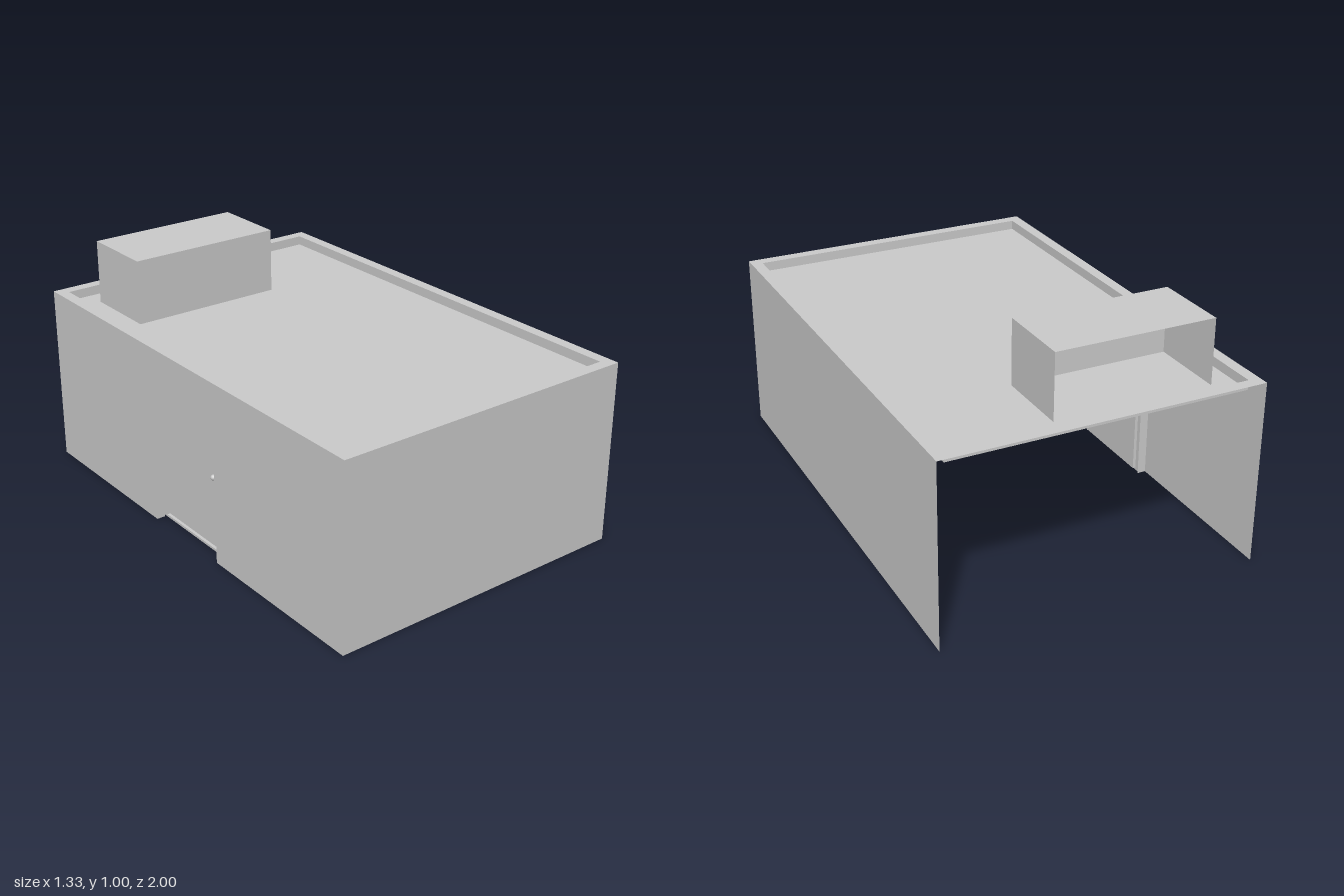
import * as THREE from 'three';

const material = new THREE.MeshStandardMaterial({ color: 0xcccccc, side: THREE.DoubleSide });

// Thin sheet: a path of points swept along one offset
function sweep(name, path, offset) {
  const o = new THREE.Vector3(...offset);
  const corners = [];
  for (let i = 0; i < path.length - 1; i++) {
    const a = new THREE.Vector3(...path[i]);
    const b = new THREE.Vector3(...path[i + 1]);
    const c = b.clone().add(o);
    corners.push(a, b, c, a, c, a.clone().add(o));
  }
  const geometry = new THREE.BufferGeometry().setFromPoints(corners);
  geometry.computeVertexNormals();
  return named(name, geometry);
}

function named(name, geometry) {
  const mesh = new THREE.Mesh(geometry, material);
  mesh.name = name;
  return mesh;
}

const rect = (x0, x1, y0, y1) => [[x0, y0], [x1, y0], [x1, y1], [x0, y1]];
const points = (list) => list.map(([x, y]) => new THREE.Vector2(x, y));

// Flat sheet from an outline, with an optional hole
function flat(outline, hole) {
  const shape = new THREE.Shape(points(outline));
  if (hole) shape.holes.push(new THREE.Path(points(hole)));
  return new THREE.ShapeGeometry(shape);
}

// Flat sheet facing -x, outline given as (z, y)
const sidePanel = (name, x, outline, hole) =>
  named(name, flat(outline, hole).rotateY(-Math.PI / 2).translate(x, 0, 0));

// Flat sheet facing up, outline given as (x, -z)
const topPanel = (name, y, outline, hole) =>
  named(name, flat(outline, hole).rotateX(-Math.PI / 2).translate(0, y, 0));

export function createModel() {
  const model = new THREE.Group();
  const W = 0.665, L = 1, H = 0.77;      // half width, half length, wall height
  const w = 0.617, l = 0.952, roofY = 0.73; // inside of the parapet, roof level

  // Outer walls; the back stays open
  model.add(sweep('outerWalls', [[-W, 0, L], [W, 0, L], [W, 0, -L]], [0, H, 0]));

  // Door side wall with an opening down to the ground
  const z0 = -0.227, z1 = 0.21, doorTop = 0.67;
  model.add(sidePanel('doorWall', -W, [
    [-L, 0], [z0, 0], [z0, doorTop], [z1, doorTop], [z1, 0], [L, 0], [L, H], [-L, H],
  ]));

  // Parapet and sunken roof
  const inner = rect(-w, w, -l, l);
  model.add(topPanel('parapetTop', H, rect(-W, W, -L, L), inner));
  model.add(sweep('parapetInside',
    [[w, roofY, l], [-w, roofY, l], [-w, roofY, -l], [w, roofY, -l], [w, roofY, l]],
    [0, H - roofY, 0]));
  model.add(topPanel('roof', roofY, inner));

  // Rooftop housing, open at the back
  const housing = new THREE.Group();
  housing.name = 'rooftopHousing';
  const bx0 = -0.518, bx1 = 0.148, bz0 = -0.86, bz1 = -0.533, boxTop = 1.003;
  housing.add(sweep('housingWalls',
    [[bx0, roofY, bz0], [bx0, roofY, bz1], [bx1, roofY, bz1], [bx1, roofY, bz0]],
    [0, boxTop - roofY, 0]));
  housing.add(topPanel('housingTop', boxTop, rect(bx0, bx1, -bz1, -bz0)));
  model.add(housing);

  // Recessed doorway: reveal, frame and door leaf
  const door = new THREE.Group();
  door.name = 'doorway';
  const frameX = -W + 0.037, leafX = -W + 0.05, edge = 0.02, sillY = 0.018;
  door.add(sweep('reveal',
    [[-W, 0, z0], [-W, doorTop, z0], [-W, doorTop, z1], [-W, 0, z1]],
    [frameX + W, 0, 0]));
  const leaf = rect(z0 + edge, z1 - edge, sillY, doorTop - edge);
  door.add(sidePanel('doorFrame', frameX, rect(z0, z1, 0.008, doorTop), leaf));
  door.add(sweep('frameInside',
    [...leaf, leaf[0]].reverse().map(([z, y]) => [frameX, y, z]),
    [leafX - frameX, 0, 0]));
  door.add(sidePanel('doorLeaf', leafX, leaf));

  // Door knob on a short neck
  const neck = named('knobNeck', new THREE.CylinderGeometry(0.006, 0.006, 0.02, 12).rotateZ(Math.PI / 2));
  neck.position.set(leafX - 0.008, 0.345, 0.16);
  const knob = named('knob', new THREE.SphereGeometry(0.012, 16, 10));
  knob.position.set(leafX - 0.02, 0.345, 0.16);
  door.add(neck, knob);
  model.add(door);

  return model;
}
